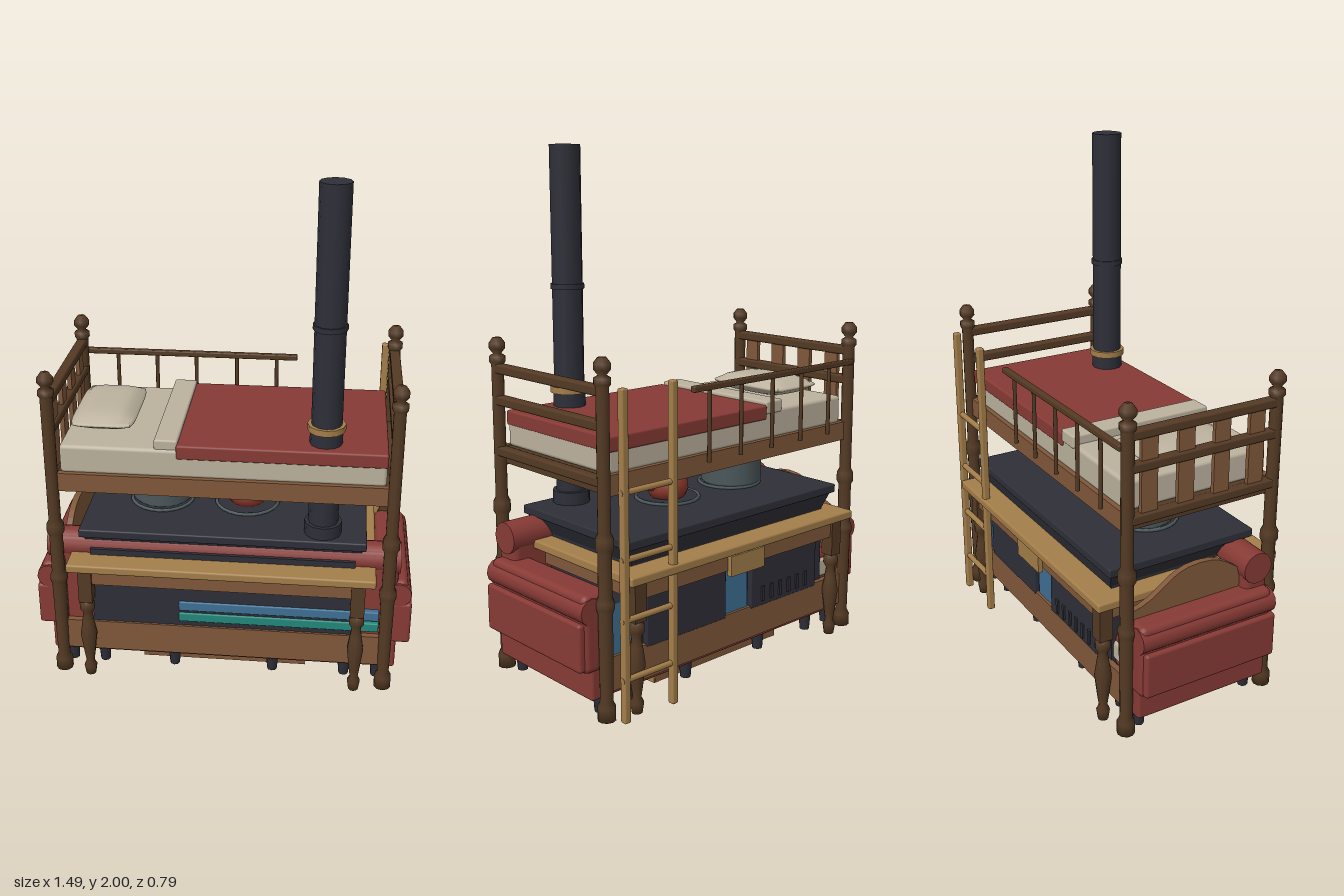
import * as THREE from 'three';
import { RoundedBoxGeometry } from 'three/addons/geometries/RoundedBoxGeometry.js';

const mat = (name, color) => {
  const m = new THREE.MeshStandardMaterial({ color });
  m.name = name;
  return m;
};

export function createModel() {
  const darkWood = mat('dark wood', 0x543a24), midWood = mat('mid wood', 0x80583a);
  const lightWood = mat('light wood', 0xa47e4a), red = mat('red fabric', 0x873a35);
  const iron = mat('black iron', 0x2e2f38), cream = mat('cream linen', 0xbcb29e);
  const steel = mat('slate steel', 0x4e5a5d), blue = mat('blue wool', 0x3f6f94);
  const teal = mat('teal wool', 0x23877a), enamel = mat('red enamel', 0x8a372b);
  const model = new THREE.Group();
  const part = name => {
    const g = new THREE.Group();
    g.name = name;
    model.add(g);
    return g;
  };
  const add = (g, name, geo, m, x = 0, y = 0, z = 0) => {
    const mesh = new THREE.Mesh(geo, m);
    mesh.name = name;
    mesh.position.set(x, y, z);
    g.add(mesh);
    return mesh;
  };
  // Box given by its limits; r rounds the edges
  const box = (g, name, m, x0, x1, y0, y1, z0, z1, r = 0) => {
    const s = [x1 - x0, y1 - y0, z1 - z0];
    const geo = r ? new RoundedBoxGeometry(...s, 2, r) : new THREE.BoxGeometry(...s);
    return add(g, name, geo, m, (x0 + x1) / 2, (y0 + y1) / 2, (z0 + z1) / 2);
  };
  const rod = (g, name, m, r, len, axis, x, y, z, sides = 8) => {
    const geo = new THREE.CylinderGeometry(r, r, len, sides);
    if (axis === 'x') geo.rotateZ(Math.PI / 2);
    if (axis === 'z') geo.rotateX(Math.PI / 2);
    return add(g, name, geo, m, x, y, z);
  };
  const lathe = (pts, sides) => new THREE.LatheGeometry(pts.map(p => new THREE.Vector2(...p)), sides);
  const corners = (x, z, f) => {
    for (const sx of [-1, 1]) for (const sz of [-1, 1]) f(x * sx, z * sz);
  };

  // Bunk bed: turned posts, rails and end boards
  const bed = part('bunkBed');
  const postGeo = lathe([[0, 0], [0.034, 0], [0.034, 0.05], [0.024, 0.07], [0.028, 0.4], [0.034, 0.42], [0.034, 0.44],
    [0.026, 0.46], [0.026, 0.62], [0.034, 0.635], [0.034, 0.67], [0.024, 0.69], [0.024, 1.2], [0.031, 1.21],
    [0.031, 1.23], [0.015, 1.24], [0.031, 1.26], [0.031, 1.28], [0.016, 1.3], [0, 1.3]], 10);
  corners(0.645, 0.31, (x, z) => add(bed, 'post', postGeo, darkWood, x, 0, z));
  for (const s of [-1, 1]) {
    const z = s * 0.302;
    box(bed, 'lowerRail', midWood, -0.63, 0.63, 0.1, 0.23, z - 0.012, z + 0.012);
    box(bed, 'upperRail', midWood, -0.63, 0.63, 0.815, 0.89, z - 0.012, z + 0.012);
    for (const y of [1.185, 1.065, 0.87])
      box(bed, 'endRail', darkWood, s * 0.645 - 0.02, s * 0.645 + 0.02, y - 0.018, y + 0.018, -0.31, 0.31, 0.008);
    box(bed, 'lowerEndRail', midWood, s * 0.63 - 0.012, s * 0.63 + 0.012, 0.1, 0.23, -0.3, 0.3);
  }
  for (const z of [-0.225, -0.075, 0.075, 0.225])
    box(bed, 'headSlat', midWood, -0.652, -0.635, 0.87, 1.18, z - 0.033, z + 0.033);
  box(bed, 'bedBase', darkWood, -0.63, 0.63, 0.82, 0.885, -0.29, 0.29);

  // Arched head panel of the lower bunk
  const arch = new THREE.Shape();
  arch.moveTo(-0.3, 0.2);
  arch.lineTo(0.3, 0.2);
  arch.lineTo(0.3, 0.5);
  arch.bezierCurveTo(0.15, 0.52, 0.15, 0.62, 0, 0.62);
  arch.bezierCurveTo(-0.15, 0.62, -0.15, 0.52, -0.3, 0.5);
  const archGeo = new THREE.ExtrudeGeometry(arch, { depth: 0.025, bevelEnabled: false, curveSegments: 8 });
  add(bed, 'archedPanel', archGeo, midWood, -0.645, 0, 0).rotation.y = Math.PI / 2;

  // Guard rail along the back
  box(bed, 'guardRail', darkWood, -0.64, 0.25, 1.13, 1.153, -0.342, -0.318, 0.005);
  for (const x of [-0.5, -0.335, -0.17, 0, 0.165])
    rod(bed, 'guardBaluster', darkWood, 0.008, 0.28, 'y', x, 1, -0.33);

  // Bedding of both bunks
  const bedding = part('bedding');
  box(bedding, 'upperMattress', cream, -0.615, 0.615, 0.885, 1.0, -0.298, 0.298, 0.015);
  box(bedding, 'upperBlanket', red, -0.17, 0.617, 0.965, 1.022, -0.305, 0.305, 0.008);
  box(bedding, 'foldedSheet', cream, -0.255, -0.165, 0.985, 1.036, -0.304, 0.29, 0.008);
  box(bedding, 'lowerMattress', cream, -0.6, 0.6, 0.23, 0.31, -0.285, 0.285, 0.015);
  box(bedding, 'blueBlanket', blue, -0.17, 0.617, 0.3, 0.342, -0.29, 0.312, 0.006);
  box(bedding, 'tealBlanket', teal, -0.17, 0.617, 0.25, 0.29, -0.29, 0.312, 0.006);
  for (const [x0, x1] of [[-0.07, 0.05], [0.5, 0.61]])
    box(bedding, 'blanketDrape', blue, x0, x1, 0.22, 0.42, -0.303, -0.296);
  const pillowGeo = new THREE.BoxGeometry(0.25, 0.075, 0.39, 10, 4, 12);
  const pos = pillowGeo.attributes.position;
  for (let i = 0; i < pos.count; i++) {
    const u = pos.getX(i) / 0.125, w = pos.getZ(i) / 0.195, v = pos.getY(i) / 0.0375;
    const puff = Math.sqrt(Math.max(0.06, (1 - u ** 4) * (1 - w ** 4)));
    const inset = 1 - 0.06 * v * v;
    pos.setXYZ(i, u * 0.125 * inset * (1 - 0.1 * w ** 6), v * 0.0375 * puff, w * 0.195 * inset * (1 - 0.06 * u ** 6));
  }
  pillowGeo.computeVertexNormals();
  add(bedding, 'pillow', pillowGeo, cream, -0.475, 1.035, 0);

  // Ladder at the back
  const ladder = part('ladder');
  for (const x of [0.385, 0.61]) box(ladder, 'ladderRail', lightWood, x - 0.014, x + 0.014, 0, 1.2, -0.388, -0.36, 0.006);
  for (const y of [0.16, 0.38, 0.6, 0.84]) rod(ladder, 'rung', lightWood, 0.012, 0.25, 'x', 0.5, y, -0.374);

  // Table
  const table = part('table');
  box(table, 'tableTop', lightWood, -0.595, 0.595, 0.5, 0.535, -0.395, 0.395, 0.008);
  for (const s of [-1, 1]) {
    box(table, 'apron', midWood, -0.52, 0.52, 0.43, 0.5, s * 0.345 - 0.012, s * 0.345 + 0.012);
    box(table, 'endApron', midWood, s * 0.53 - 0.012, s * 0.53 + 0.012, 0.43, 0.5, -0.34, 0.34);
  }
  box(table, 'drawerFront', lightWood, -0.09, 0.09, 0.41, 0.49, -0.375, -0.355);
  const legGeo = lathe([[0, 0], [0.02, 0], [0.026, 0.04], [0.016, 0.06], [0.022, 0.1], [0.033, 0.19], [0.024, 0.25],
    [0.018, 0.29], [0.03, 0.31], [0.03, 0.335], [0.02, 0.35]], 10);
  corners(0.53, 0.34, (x, z) => {
    add(table, 'turnedLeg', legGeo, darkWood, x, 0, z);
    box(table, 'legBlock', darkWood, x - 0.027, x + 0.027, 0.35, 0.5, z - 0.027, z + 0.027);
  });

  // Sofa facing the back
  const sofa = part('sofa');
  box(sofa, 'sofaBase', red, -0.69, 0.69, 0.07, 0.2, -0.285, 0.285, 0.012);
  box(sofa, 'seat', red, -0.6, 0.6, 0.2, 0.34, -0.275, 0.2, 0.02);
  box(sofa, 'backrest', red, -0.685, 0.685, 0.19, 0.6, 0.18, 0.288, 0.03);
  rod(sofa, 'backRoll', red, 0.062, 1.38, 'x', 0, 0.55, 0.232, 14);
  for (const s of [-1, 1]) {
    const limits = (a, b) => (s > 0 ? [a, b] : [-b, -a]);
    box(sofa, 'arm', red, ...limits(0.6, 0.725), 0.18, 0.47, -0.295, 0.28, 0.025);
    box(sofa, 'armPanel', red, ...limits(0.66, 0.743), 0.19, 0.37, -0.285, 0.285, 0.012);
    rod(sofa, 'armRoll', red, 0.05, 0.58, 'z', s * 0.69, 0.41, -0.005, 12);
  }
  const footGeo = new THREE.CylinderGeometry(0.026, 0.02, 0.08, 8);
  for (const x of [-0.62, -0.49, -0.2, 0.2, 0.49, 0.62])
    for (const z of [-0.24, 0.24]) add(sofa, 'sofaFoot', footGeo, iron, x, 0.04, z);

  // Stove with tapered rim, doors and vents
  const stove = part('stove');
  box(stove, 'stoveBody', iron, -0.515, 0.515, 0.2, 0.56, -0.295, 0.305);
  box(stove, 'hob', iron, -0.56, 0.555, 0.605, 0.64, -0.33, 0.3, 0.006);
  const rimGeo = new THREE.CylinderGeometry(Math.SQRT1_2, 0.665, 0.065, 4).toNonIndexed();
  rimGeo.rotateY(Math.PI / 4).scale(1.09, 1, 0.6);
  rimGeo.computeVertexNormals();
  add(stove, 'hobRim', rimGeo, iron, 0, 0.5725, -0.015);
  for (const [x0, x1] of [[-0.46, -0.08], [0.06, 0.46]])
    box(stove, 'ovenDoor', iron, x0, x1, 0.22, 0.42, -0.318, -0.29, 0.005);
  for (let i = 0; i < 6; i++)
    box(stove, 'vent', iron, -0.4 + i * 0.05, -0.385 + i * 0.05, 0.24, 0.3, -0.325, -0.312);
  for (const x of [-0.27, 0.075]) {
    add(stove, 'burner', new THREE.CylinderGeometry(0.125, 0.125, 0.008, 24), iron, x, 0.643, 0);
    add(stove, 'burnerRing', new THREE.TorusGeometry(0.125, 0.007, 6, 24).rotateX(Math.PI / 2), steel, x, 0.645, 0);
  }

  // Chimney pipe with joints and a collar
  const chimney = part('chimney');
  for (const [name, r, y0, y1, m] of [['pipe', 0.058, 0.64, 2, iron], ['pipeFoot', 0.073, 0.64, 0.69, iron],
    ['pipeJoint', 0.064, 1.47, 1.49, iron], ['collar', 0.072, 1.075, 1.1, lightWood], ['collarFlange', 0.062, 1.02, 1.075, iron]])
    rod(chimney, name, m, r, y1 - y0, 'y', 0.385, (y0 + y1) / 2, 0.215, 12);

  // Cooking pot
  const pot = part('pot');
  pot.position.set(-0.27, 0.648, -0.01);
  add(pot, 'potBody', lathe([[0, 0], [0.115, 0], [0.125, 0.012], [0.125, 0.15], [0.135, 0.152], [0.135, 0.165],
    [0.12, 0.172], [0.05, 0.187], [0, 0.19]], 20), steel);
  add(pot, 'lidKnob', new THREE.SphereGeometry(0.018, 10, 6), steel, 0, 0.193, 0);
  for (const s of [-1, 1]) add(pot, 'potHandle', new THREE.TorusGeometry(0.024, 0.007, 6, 14), steel, s * 0.145, 0.13, 0);

  // Kettle
  const kettle = part('kettle');
  kettle.position.set(0.075, 0.648, 0);
  add(kettle, 'kettleBody', lathe([[0, 0], [0.07, 0], [0.083, 0.03], [0.08, 0.065], [0.06, 0.1], [0.04, 0.115],
    [0.035, 0.125], [0, 0.13]], 16), enamel);
  const spout = new THREE.CatmullRomCurve3([[0.06, 0.04], [0.11, 0.055], [0.135, 0.095], [0.165, 0.12]]
    .map(p => new THREE.Vector3(...p, 0)));
  add(kettle, 'spout', new THREE.TubeGeometry(spout, 8, 0.014, 8), enamel);
  add(kettle, 'kettleHandle', new THREE.TorusGeometry(0.038, 0.007, 6, 12, Math.PI), iron, 0, 0.105, 0);

  // Shallow tray under the sofa
  const tray = part('underTray');
  box(tray, 'trayPanel', darkWood, -0.31, 0.31, 0.012, 0.055, -0.19, 0.19);
  for (const s of [-1, 1]) {
    box(tray, 'traySide', midWood, -0.33, 0.33, 0.005, 0.045, s * 0.2 - 0.012, s * 0.2 + 0.012);
    box(tray, 'trayEnd', lightWood, s * 0.32 - 0.014, s * 0.32 + 0.014, 0.003, 0.048, -0.21, 0.21);
  }
  return model;
}
